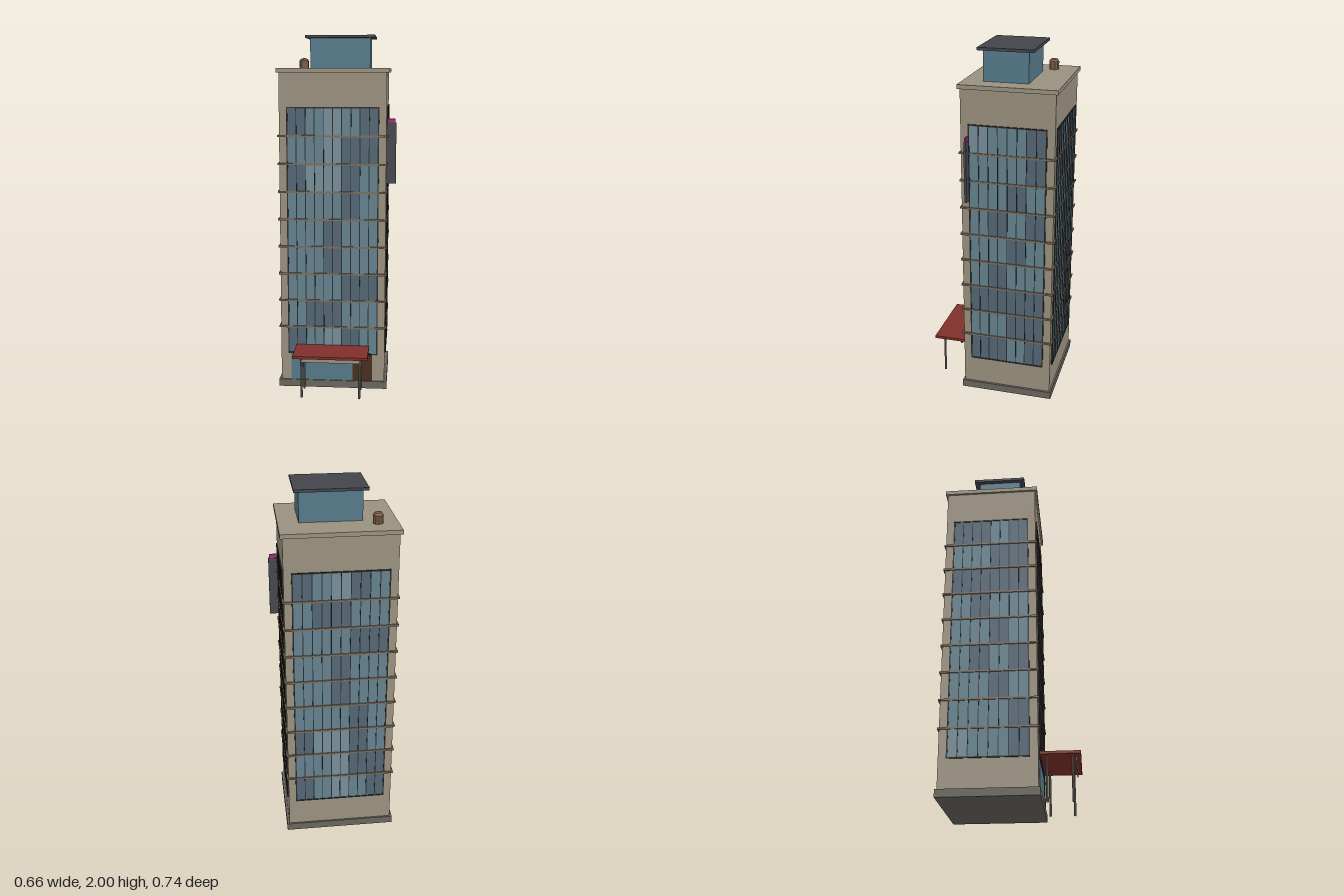
import * as THREE from 'three';

const mat = (color) => new THREE.MeshStandardMaterial({ color, flatShading: true });
const M = {
  wall: mat(0x9a917f), base: mat(0x6a665e), band: mat(0x7d6d5a), frame: mat(0x2f2d2b),
  roof: mat(0x43454b), canopy: mat(0x7f2f2a), post: mat(0x77736a), door: mat(0x46301f),
  tank: mat(0x7a5c3e), sign: mat(0x45474f), accent: mat(0xa82a78), shopGlass: mat(0x55798a),
};
const GLASS = { D: mat(0x536675), M: mat(0x64828f), L: mat(0x768f9a) };

// Tower centre, size and window field
const CX = -0.021, CZ = -0.1, W = 0.594, D = 0.51;
const Y0 = 0.203, FLOORS = 9, FLOOR_H = 0.156;

// Box given by its min and max corners
function box(parent, name, material, x0, x1, y0, y1, z0, z1) {
  const mesh = new THREE.Mesh(new THREE.BoxGeometry(x1 - x0, y1 - y0, z1 - z0), material);
  mesh.position.set((x0 + x1) / 2, (y0 + y1) / 2, (z0 + z1) / 2);
  mesh.name = name;
  parent.add(mesh);
  return mesh;
}

// Box centred on the tower axis
function slab(parent, name, material, w, d, y0, y1) {
  return box(parent, name, material, CX - w / 2, CX + w / 2, y0, y1, CZ - d / 2, CZ + d / 2);
}

// Window field in local space, wall surface at z = 0; one pane spans two bays
function windowWall(name, width, tints) {
  const g = new THREE.Group();
  g.name = name;
  const panes = tints[0].length, bays = panes * 2, top = Y0 + FLOORS * FLOOR_H;
  const pw = width / panes, left = -width / 2;
  tints.forEach((row, r) => {
    const y1 = top - r * FLOOR_H;
    [...row].forEach((t, i) => {
      const x = left + i * pw;
      box(g, 'windowPane', GLASS[t], x, x + pw, y1 - FLOOR_H, y1, -0.004, 0.003);
    });
  });
  // Mullions, thicker at both ends
  for (let i = 0; i <= bays; i++) {
    const x = left + (i * width) / bays, t = i % bays === 0 ? 0.0035 : 0.0022;
    box(g, 'mullion', M.frame, x - t, x + t, Y0, top, -0.004, 0.006);
  }
  // Sill and head rails
  for (const y of [Y0, top]) {
    box(g, 'windowRail', M.frame, left - 0.0035, -left + 0.0035, y - 0.0035, y + 0.0035, -0.004, 0.0065);
  }
  return g;
}

export function createModel() {
  const model = new THREE.Group();
  model.name = 'towerBlock';

  // Main mass
  slab(model, 'plinth', M.base, 0.62, 0.53, 0, 0.042);
  slab(model, 'towerBody', M.wall, W, D, 0.042, 1.797);
  slab(model, 'roofCap', M.wall, 0.62, 0.535, 1.797, 1.82);

  // Bands wrapping the tower at each floor
  for (let i = 1; i < FLOORS; i++) {
    const y = Y0 + i * FLOOR_H;
    slab(model, 'floorBand', M.band, W + 0.018, D + 0.018, y - 0.005, y + 0.005);
  }

  // Four window walls
  const front = ['DMLMD', 'MMLDD', 'DLLDM', 'MMMDM', 'MMDMM', 'MMDMM', 'MMMDD', 'MDDMM', 'DMLDM'];
  const side = ['LMMD', 'MMMD', 'MMDM', 'MDMD', 'MMDM', 'MDMM', 'DDDD', 'MMDD', 'DDMD'];
  const walls = [
    ['frontWindows', 0.506, front, 0, D / 2],
    ['leftWindows', 0.42, side, 1, W / 2],
    ['backWindows', 0.506, [...front].reverse(), 2, D / 2],
    ['rightWindows', 0.42, [...side].reverse(), 3, W / 2],
  ];
  for (const [name, width, tints, turn, dist] of walls) {
    const a = (turn * Math.PI) / 2;
    const g = windowWall(name, width, tints);
    g.rotation.y = a;
    g.position.set(CX + Math.sin(a) * dist, 0, CZ + Math.cos(a) * dist);
    model.add(g);
  }

  // Ground floor entrance
  const fz = CZ + D / 2;
  box(model, 'shopWindow', M.shopGlass, -0.26, 0.093, 0.042, 0.198, fz - 0.01, fz + 0.004);
  box(model, 'entranceDoor', M.door, 0.093, 0.205, 0.042, 0.198, fz - 0.01, fz + 0.006);

  // Entrance canopy with beam and posts
  box(model, 'canopyRoof', M.canopy, -0.229, 0.188, 0.238, 0.253, fz - 0.003, 0.368);
  box(model, 'canopyBeam', M.wall, -0.18, 0.145, 0.212, 0.238, 0.34, 0.347);
  for (const x of [-0.182, 0.141]) {
    for (const z of [0.19, 0.323]) {
      const post = new THREE.Mesh(new THREE.CylinderGeometry(0.0065, 0.0065, 0.238, 8), M.post);
      post.position.set(x, 0.119, z);
      post.name = 'canopyPost';
      model.add(post);
    }
  }

  // Penthouse
  box(model, 'penthouse', M.shopGlass, -0.153, 0.18, 1.82, 1.987, -0.19, 0.056);
  box(model, 'penthouseRoof', M.roof, -0.179, 0.206, 1.985, 2, -0.22, 0.082);

  // Water tank with a low domed top
  const profile = [[0, 0], [0.027, 0], [0.028, 0.045], [0.02, 0.056], [0, 0.062]];
  const tank = new THREE.Mesh(
    new THREE.LatheGeometry(profile.map(([x, y]) => new THREE.Vector2(x, y)), 10), M.tank);
  tank.position.set(-0.223, 1.82, -0.238);
  tank.name = 'waterTank';
  model.add(tank);

  // Blade sign on the left wall
  box(model, 'signBoard', M.sign, 0.27, 0.329, 1.187, 1.525, 0.11, 0.123);
  box(model, 'signAccent', M.accent, 0.283, 0.324, 1.52, 1.546, 0.1125, 0.1205);

  return model;
}
